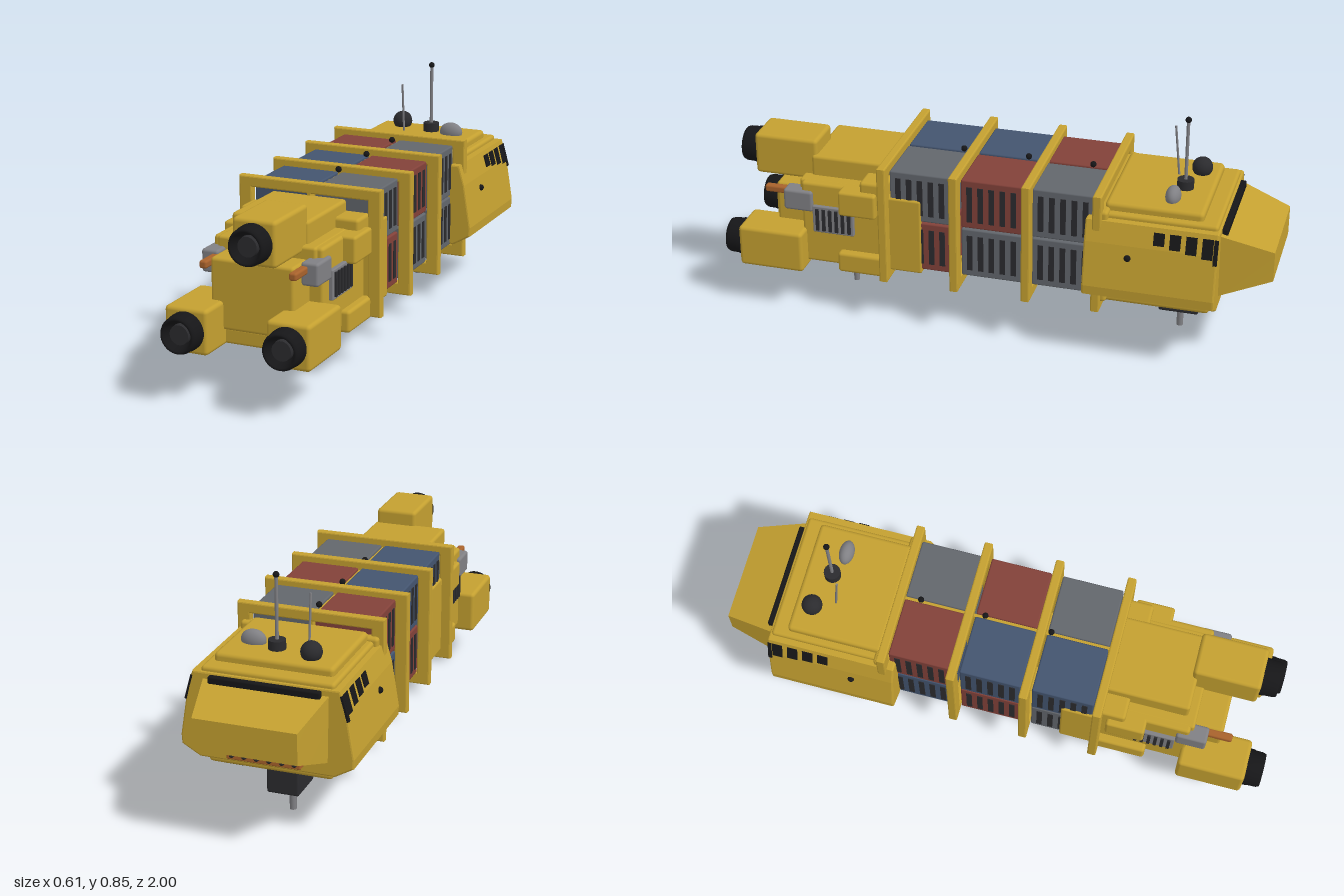
import * as THREE from 'three';
import { RoundedBoxGeometry } from 'three/addons/geometries/RoundedBoxGeometry.js';

const mat = (color) => new THREE.MeshStandardMaterial({ color });
const M = {
  yellow: mat(0xc4a030), red: mat(0x824139), blue: mat(0x43546f), grey: mat(0x62666c),
  steel: mat(0x808084), dark: mat(0x2b2b2e), black: mat(0x161618), orange: mat(0xa8622c),
};

export function createModel() {
  const ship = new THREE.Group();
  ship.name = 'cargoShip';

  function add(name, geo, m, x = 0, y = 0, z = 0, parent = ship) {
    const mesh = new THREE.Mesh(geo, M[m]);
    mesh.name = name;
    mesh.position.set(x, y, z);
    parent.add(mesh);
    return mesh;
  }
  // Box between two limits on each axis; r > 0 rounds its edges
  function box(name, m, [x0, x1], [y0, y1], [z0, z1], r = 0, parent = ship) {
    const s = [x1 - x0, y1 - y0, z1 - z0];
    const geo = r ? new RoundedBoxGeometry(...s, 2, r) : new THREE.BoxGeometry(...s);
    return add(name, geo, m, (x0 + x1) / 2, (y0 + y1) / 2, (z0 + z1) / 2, parent);
  }
  // The same box on both sides
  function pair(name, m, [x0, x1], y, z, r = 0) {
    box(name + 'Left', m, [x0, x1], y, z, r);
    box(name + 'Right', m, [-x1, -x0], y, z, r);
  }
  const ball = (name, m, r, x, y, z) => add(name, new THREE.SphereGeometry(r, 20, 14), m, x, y, z);
  const rod = (name, m, r, h, x, y, z) => add(name, new THREE.CylinderGeometry(r, r, h, 16), m, x, y + h / 2, z);

  // Cargo frames: square rings around the load
  const rect = (P, x, y0, y1) => {
    const p = new P();
    p.moveTo(-x, y0); p.lineTo(x, y0); p.lineTo(x, y1); p.lineTo(-x, y1); p.closePath();
    return p;
  };
  const ring = rect(THREE.Shape, 0.262, 0.183, 0.622);
  ring.holes.push(rect(THREE.Path, 0.224, 0.217, 0.593));
  const ringGeo = new THREE.ExtrudeGeometry(ring, {
    depth: 0.022, bevelEnabled: true, bevelSize: 0.005, bevelThickness: 0.005, bevelSegments: 2,
  });
  for (const z of [-0.395, -0.143, 0.12, 0.383]) add('cargoFrame', ringGeo, 'yellow', 0, 0, z - 0.011);

  // Containers: three bays, two wide, two high
  function container(color, side, y0, z0) {
    const g = new THREE.Group();
    g.name = 'container';
    ship.add(g);
    const x = side > 0 ? [0.006, 0.222] : [-0.222, -0.006];
    const y = [y0, y0 + 0.187];
    box('containerShell', color, x, y, [z0, z0 + 0.222], 0.006, g);
    for (let i = 0; i < 5; i++) {
      const z = z0 + 0.021 + i * 0.04;
      const xs = side > 0 ? [0.215, 0.2245] : [-0.2245, -0.215];
      box('containerRecess', 'dark', xs, [y0 + 0.025, y0 + 0.162], [z, z + 0.02], 0, g);
    }
  }
  const bays = [
    // z start, upper right, upper left, lower right, lower left
    [-0.378, 'red', 'grey', 'blue', 'grey'],
    [-0.12, 'blue', 'red', 'red', 'grey'],
    [0.142, 'blue', 'grey', 'grey', 'red'],
  ];
  for (const [z, ur, ul, lr, ll] of bays) {
    container(ur, -1, 0.418, z);
    container(ul, 1, 0.418, z);
    container(lr, -1, 0.226, z);
    container(ll, 1, 0.226, z);
  }
  box('keel', 'yellow', [-0.1, 0.1], [0.195, 0.228], [-0.45, 0.45], 0.006);
  box('spine', 'yellow', [-0.006, 0.006], [0.22, 0.595], [-0.4, 0.4]);
  pair('cradlePlate', 'yellow', [0.19, 0.23], [0.21, 0.5], [0.25, 0.385], 0.008);
  for (const z of [0.155, -0.085, -0.32]) ball('beacon', 'black', 0.011, 0, 0.617, z);

  // Cab: a shell that flares toward its lower edge
  const half = [[0.252, 0.53], [0.272, 0.46], [0.298, 0.3], [0.296, 0.27], [0.235, 0.235]];
  const cab = new THREE.Shape();
  half.forEach(([x, y], i) => (i ? cab.lineTo(x, y) : cab.moveTo(x, y)));
  [...half].reverse().forEach(([x, y]) => cab.lineTo(-x, y));
  cab.closePath();
  add('cabShell', new THREE.ExtrudeGeometry(cab, {
    depth: 0.452, bevelEnabled: true, bevelSize: 0.006, bevelThickness: 0.006, bevelSegments: 2,
  }), 'yellow', 0, 0, -0.812);
  box('cabBelly', 'yellow', [-0.22, 0.22], [0.2, 0.3], [-0.79, -0.39], 0.015);
  box('bellyHatch', 'yellow', [-0.09, 0.09], [0.192, 0.21], [-0.55, -0.43], 0.005);
  box('bellyLamp', 'dark', [0.1, 0.17], [0.195, 0.21], [-0.77, -0.73]);
  box('cabBulkhead', 'yellow', [-0.25, 0.25], [0.21, 0.565], [-0.43, -0.39], 0.012);
  box('roofSlab', 'yellow', [-0.235, 0.23], [0.5, 0.553], [-0.81, -0.39], 0.012);
  box('roofPanel', 'yellow', [-0.212, 0.206], [0.54, 0.582], [-0.755, -0.41], 0.015);

  // Nose: four-sided taper built from a box
  const noseGeo = new THREE.BoxGeometry(1, 1, 1);
  const np = noseGeo.attributes.position;
  for (let i = 0; i < np.count; i++) {
    const tip = np.getZ(i) < 0, up = np.getY(i) > 0;
    const w = tip ? 0.18 : up ? 0.22 : 0.215;
    np.setXYZ(i, Math.sign(np.getX(i)) * w, tip ? (up ? 0.455 : 0.345) : up ? 0.515 : 0.275, tip ? -1 : -0.81);
  }
  noseGeo.computeVertexNormals();
  add('nose', noseGeo, 'yellow');
  box('windscreen', 'black', [-0.195, 0.195], [0.497, 0.53], [-0.838, -0.815], 0.006);

  // Cab side windows, lying on the sloped flank
  for (const s of [-1, 1]) {
    for (let i = 0; i < 4; i++) {
      const h = 0.045 + i * 0.009;
      const w = add('sideWindow', new THREE.BoxGeometry(0.008, h, 0.038), 'black', s * 0.268, 0.52 - h / 2, -0.615 - i * 0.056);
      w.rotation.z = s * 0.27;
    }
    const strip = add('windowPillar', new THREE.BoxGeometry(0.008, 0.09, 0.014), 'black', s * 0.271, 0.475, -0.811);
    strip.rotation.z = s * 0.27;
    ball('sideBeacon', 'black', 0.012, s * 0.285, 0.418, -0.51);
  }

  // Chin light bar
  box('chinBar', 'orange', [-0.13, 0.13], [0.25, 0.272], [-0.848, -0.81], 0.005);
  for (let i = 0; i < 6; i++) ball('chinLight', 'dark', 0.009, -0.11 + i * 0.044, 0.268, -0.85);

  // Roof equipment
  rod('mastBase', 'dark', 0.03, 0.04, 0.022, 0.575, -0.655);
  rod('mast', 'steel', 0.006, 0.25, 0.022, 0.59, -0.655);
  ball('mastTip', 'black', 0.011, 0.022, 0.841, -0.655);
  rod('whipAntenna', 'steel', 0.004, 0.19, -0.075, 0.578, -0.605).rotation.x = 0.1;
  ball('sensorBall', 'dark', 0.037, -0.112, 0.603, -0.69);
  rod('sensorFoot', 'dark', 0.022, 0.025, -0.112, 0.572, -0.69);
  ball('dish', 'steel', 0.045, 0.115, 0.592, -0.63).scale.set(1, 0.8, 0.6);

  // Belly pods with probes
  box('cabPod', 'dark', [-0.075, 0.04], [0.085, 0.205], [-0.725, -0.58], 0.008);
  rod('cabProbe', 'steel', 0.012, 0.1, -0.026, 0, -0.65);
  box('rearPod', 'dark', [-0.027, 0.05], [0.1, 0.19], [0.52, 0.64], 0.008);
  rod('rearProbe', 'steel', 0.011, 0.09, 0.011, 0.02, 0.58);

  // Engine section hull, stepped in layers
  box('engineHull', 'yellow', [-0.2, 0.2], [0.185, 0.505], [0.38, 0.71], 0.012);
  box('shoulder', 'yellow', [-0.222, 0.222], [0.45, 0.543], [0.38, 0.48], 0.012);
  box('upperHull', 'yellow', [-0.143, 0.138], [0.46, 0.583], [0.385, 0.69], 0.012);
  box('hullDeck', 'yellow', [-0.18, 0.18], [0.45, 0.507], [0.39, 0.722], 0.01);
  box('tailBlock', 'yellow', [-0.153, 0.15], [0.22, 0.465], [0.65, 0.825], 0.012);
  box('tailSkirt', 'yellow', [-0.13, 0.13], [0.168, 0.225], [0.48, 0.81], 0.01);
  box('lowerHull', 'yellow', [-0.23, 0.23], [0.172, 0.25], [0.38, 0.57], 0.012);
  pair('sidePod', 'yellow', [0.18, 0.245], [0.41, 0.505], [0.415, 0.555], 0.01);

  // Vents, pump boxes and pipes on both flanks
  pair('vent', 'steel', [0.19, 0.214], [0.315, 0.42], [0.51, 0.665], 0.004);
  for (let i = 0; i < 6; i++) {
    const z = 0.52 + i * 0.024;
    pair('ventSlat', 'dark', [0.2, 0.22], [0.325, 0.41], [z, z + 0.012]);
  }
  pair('pumpBox', 'steel', [0.15, 0.213], [0.392, 0.472], [0.665, 0.775], 0.01);
  pair('pipe', 'orange', [0.148, 0.176], [0.433, 0.46], [0.76, 0.86], 0.008);

  // Small fittings under the engine section
  pair('underPlate', 'yellow', [0.06, 0.15], [0.163, 0.18], [0.43, 0.52], 0.005);
  for (const s of [-1, 1]) ball('underStud', 'dark', 0.014, s * 0.13, 0.168, 0.49);

  // Engines: rounded nacelle with a black stepped nozzle
  const nozzleGeo = new THREE.LatheGeometry([
    [0, 0.03], [0.034, 0.03], [0.038, 0.025], [0.052, 0.06], [0.06, 0.06],
    [0.064, 0.05], [0.065, 0.02], [0.067, 0.015], [0.067, -0.02],
  ].reverse().map(([x, y]) => new THREE.Vector2(x, y)), 40);
  nozzleGeo.rotateX(Math.PI / 2);
  const coreGeo = new THREE.CylinderGeometry(0.034, 0.038, 0.04, 32).rotateX(Math.PI / 2);
  function engine(name, x, y, z0, z1) {
    box(name + 'Nacelle', 'yellow', [x - 0.078, x + 0.078], [y - 0.078, y + 0.078], [z0, z1], 0.014);
    add(name + 'Nozzle', nozzleGeo, 'black', x, y, z1);
    add(name + 'Core', coreGeo, 'dark', x, y, z1 + 0.025);
  }
  engine('leftEngine', 0.183, 0.242, 0.695, 0.94);
  engine('rightEngine', -0.185, 0.242, 0.695, 0.94);
  engine('topEngine', 0.052, 0.56, 0.67, 0.91);

  return ship;
}
